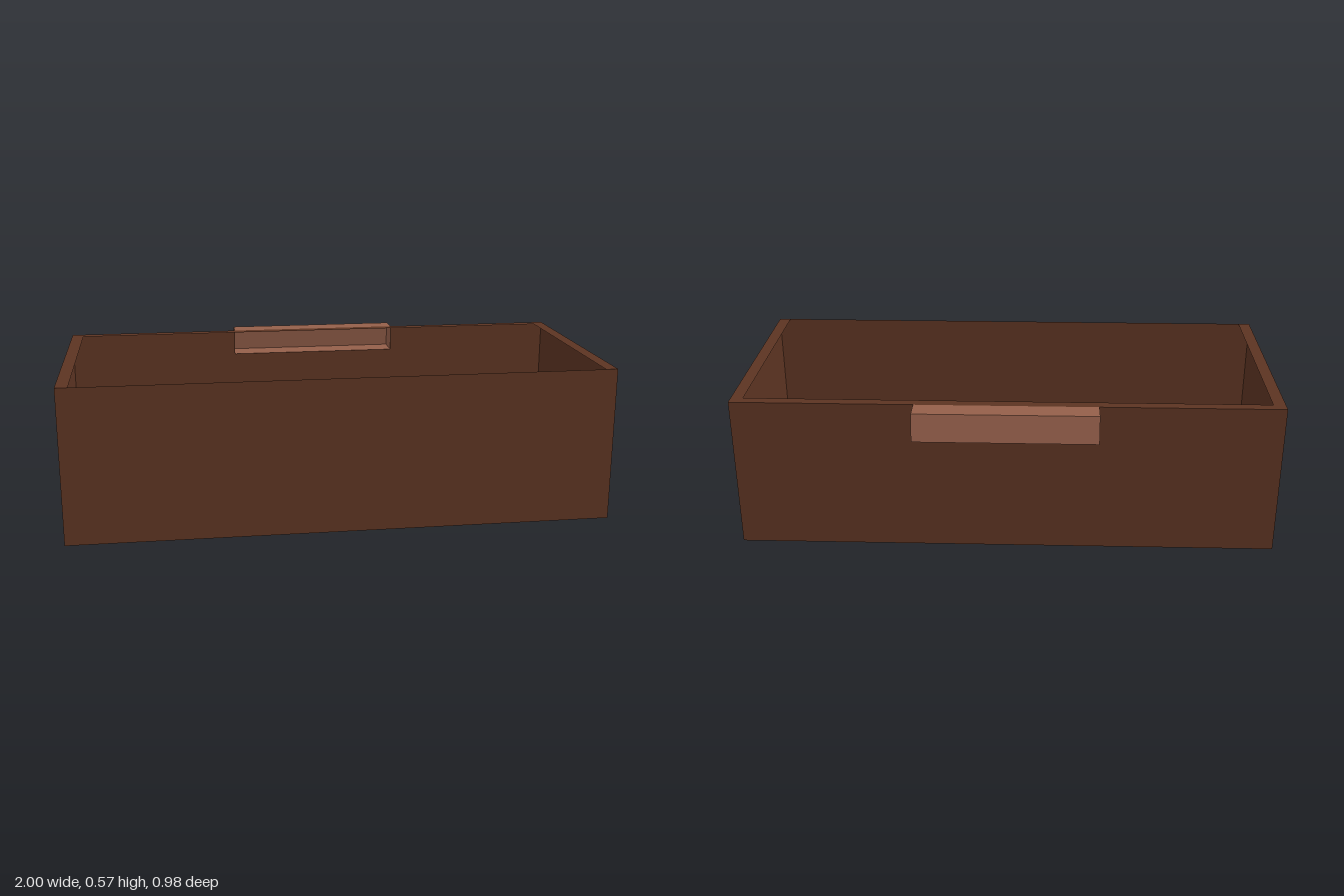
import * as THREE from 'three';

const W = 1, H = 0.575, FRONT = 0.49, BACK = -0.39; // tray half width, height, depth limits
const LIP_X = 0.955, LIP_Z = -0.35;                 // inner edge of the rim
const HW = 0.333, HY = 0.475;                       // handle half width, underside

// Flat four-cornered sheet
function sheet(name, material, a, b, c, d) {
  const g = new THREE.BufferGeometry();
  g.setAttribute('position', new THREE.Float32BufferAttribute([a, b, c, a, c, d].flat(), 3));
  g.computeVertexNormals();
  const mesh = new THREE.Mesh(g, material);
  mesh.name = name;
  return mesh;
}

export function createModel() {
  const model = new THREE.Group();
  model.name = 'drawer';
  const wood = new THREE.MeshStandardMaterial({ color: 0x5c3422, side: THREE.DoubleSide });
  wood.name = 'dark wood';
  const grip = new THREE.MeshStandardMaterial({ color: 0x945f4a, side: THREE.DoubleSide });
  grip.name = 'light wood';

  // Thin-walled tray
  const tray = new THREE.Group();
  tray.name = 'tray';
  tray.add(
    sheet('floor', wood, [-W, 0, BACK], [W, 0, BACK], [W, 0, FRONT], [-W, 0, FRONT]),
    sheet('frontWall', wood, [-W, 0, FRONT], [W, 0, FRONT], [W, H, FRONT], [-W, H, FRONT]),
  );
  for (const s of [-1, 1]) {
    const side = s > 0 ? 'left' : 'right';
    tray.add(
      sheet(side + 'Wall', wood, [s * W, 0, FRONT], [s * W, 0, BACK], [s * W, H, BACK], [s * W, H, FRONT]),
      sheet(side + 'Rim', wood, [s * W, H, FRONT], [s * W, H, BACK], [s * LIP_X, H, LIP_Z], [s * LIP_X, H, FRONT]),
    );
  }
  tray.add(sheet('backRim', wood, [-W, H, BACK], [-LIP_X, H, LIP_Z], [LIP_X, H, LIP_Z], [W, H, BACK]));

  // Back wall, notched where the hollow handle opens into the tray
  const outline = new THREE.Shape([
    [-W, 0], [W, 0], [W, H], [HW, H], [HW, HY], [-HW, HY], [-HW, H], [-W, H],
  ].map(([x, y]) => new THREE.Vector2(x, y)));
  const backWall = new THREE.Mesh(new THREE.ShapeGeometry(outline), wood);
  backWall.name = 'backWall';
  backWall.position.z = BACK;
  tray.add(backWall);

  // Hollow handle with a sloping outer face, open towards the tray
  const handle = new THREE.Group();
  handle.name = 'handle';
  const section = [[H, BACK], [H, -0.47], [HY, -0.49], [HY, BACK]];
  ['handleTop', 'handleFace', 'handleUnderside'].forEach((name, i) => {
    const p = section[i], q = section[i + 1];
    handle.add(sheet(name, grip, [-HW, ...p], [HW, ...p], [HW, ...q], [-HW, ...q]));
  });
  for (const s of [-1, 1]) {
    handle.add(sheet(s > 0 ? 'handleLeftEnd' : 'handleRightEnd', grip, ...section.map((p) => [s * HW, ...p])));
  }

  // Turn single sheets outwards so their stored normals face away from the body
  const centre = new THREE.Vector3(0, 0.3, 0.05);
  for (const mesh of [...tray.children, ...handle.children]) {
    const p = mesh.geometry.attributes.position, n = mesh.geometry.attributes.normal;
    const out = new THREE.Vector3().fromBufferAttribute(p, 0).add(mesh.position);
    const mid = mesh.parent === handle ? new THREE.Vector3(0, 0.52, -0.42) : centre;
    if (out.sub(mid).dot(new THREE.Vector3().fromBufferAttribute(n, 0)) < 0) {
      const order = mesh.geometry.index ? Array.from(mesh.geometry.index.array) : [0, 1, 2, 3, 4, 5];
      mesh.geometry.setIndex(order.reverse());
      mesh.geometry.computeVertexNormals();
    }
  }

  model.add(tray, handle);
  return model;
}
